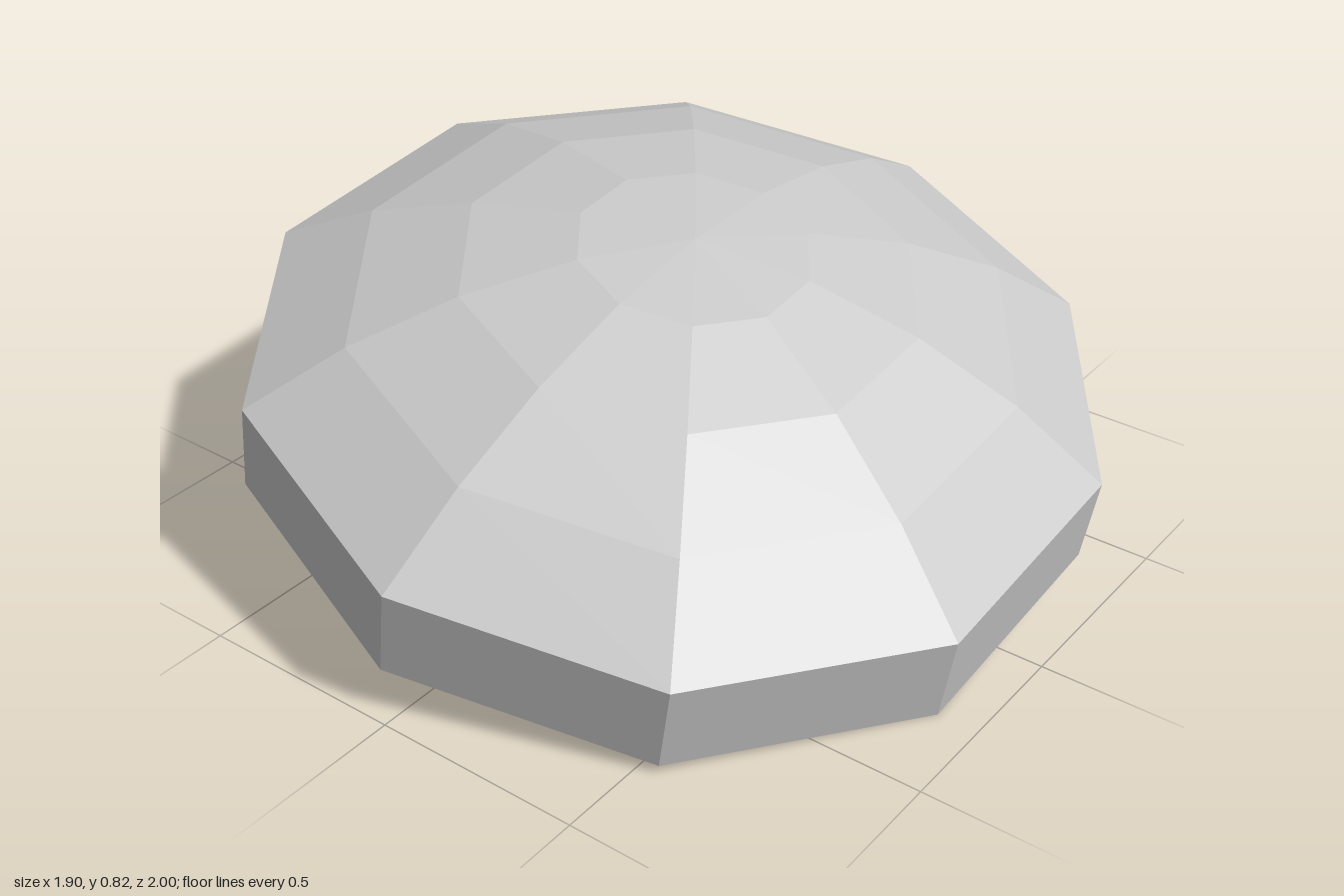
import * as THREE from 'three';

const SIDES = 10;
const RADIUS = 0.995;
const WALL = 0.228;
const CAP_HEIGHT = 0.342;
const RINGS = 4;

export function createModel() {
  const model = new THREE.Group();
  const grey = new THREE.MeshStandardMaterial({ color: 0xc8c8c8, flatShading: true });
  grey.name = 'light grey';

  const lathe = (name, points) => {
    const mesh = new THREE.Mesh(new THREE.LatheGeometry(points, SIDES), grey);
    mesh.name = name;
    return mesh;
  };

  // Whole body leans towards +x and slightly towards the front
  const body = new THREE.Group();
  body.name = 'tiltedDome';
  body.position.set(0.023, 0.447, 0.01);
  body.rotation.set(0.102, 0, -0.204);
  model.add(body);

  // Ten-sided base: flat underside and upright wall
  body.add(lathe('base', [
    new THREE.Vector2(0, -WALL),
    new THREE.Vector2(RADIUS, -WALL),
    new THREE.Vector2(RADIUS, 0),
  ]));

  // Faceted cap following a shallow sphere
  const sphere = (RADIUS ** 2 + CAP_HEIGHT ** 2) / (2 * CAP_HEIGHT);
  const rimAngle = Math.asin(RADIUS / sphere);
  const profile = [];
  for (let i = RINGS; i >= 0; i--) {
    const a = (rimAngle * i) / RINGS;
    profile.push(new THREE.Vector2(sphere * Math.sin(a), CAP_HEIGHT - sphere * (1 - Math.cos(a))));
  }
  body.add(lathe('domeCap', profile));

  return model;
}
